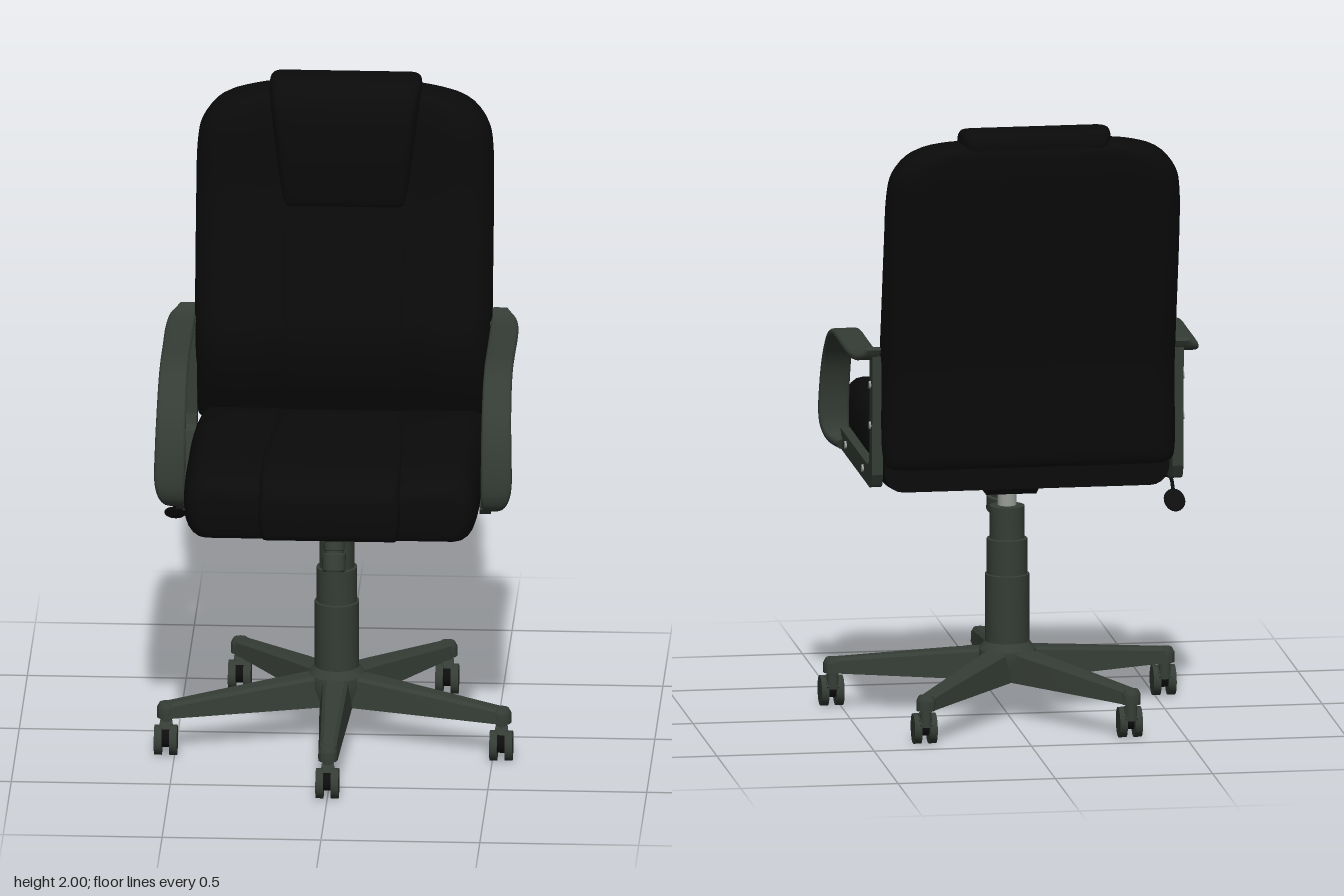
import * as THREE from 'three';
import { toCreasedNormals } from 'three/addons/utils/BufferGeometryUtils.js';

const material = (name, color) => Object.assign(new THREE.MeshStandardMaterial({ color }), { name });

// Rounded rectangle outline as [a, b] pairs, long sides subdivided so they can be dished
function roundLoop(a0, a1, b0, b1, ra, rb, n = 5, sub = 18) {
  const pts = [];
  const corners = [[a1 - ra, b1 - rb], [a0 + ra, b1 - rb], [a0 + ra, b0 + rb], [a1 - ra, b0 + rb]];
  corners.forEach(([ca, cb], q) => {
    for (let i = 0; i <= n; i++) {
      const t = (q + i / n) * Math.PI / 2;
      pts.push([ca + ra * Math.cos(t), cb + rb * Math.sin(t)]);
    }
    if (q % 2 === 0) {
      const [na] = corners[q + 1], b = q === 0 ? b1 : b0;
      for (let i = 1; i < sub; i++) pts.push([ca + (na - ca) * i / sub, b]);
    }
  });
  return pts;
}

// Skin over closed rings of points, turned outward by the sign of its volume
function loft(rings, crease = 0.7, caps = true) {
  const n = rings[0].length, pos = rings.flat(), faces = [];
  for (let r = 0; r < rings.length - 1; r++) for (let i = 0; i < n; i++) {
    const a = r * n + i, b = r * n + (i + 1) % n;
    faces.push([a, b, a + n], [b, b + n, a + n]);
  }
  if (caps) [0, rings.length - 1].forEach((r, end) => {
    const c = [0, 1, 2].map(k => rings[r].reduce((s, p) => s + p[k], 0) / n);
    const id = pos.push(c) - 1;
    for (let i = 0; i < n; i++) {
      const a = r * n + i, b = r * n + (i + 1) % n;
      faces.push(end ? [a, b, id] : [b, a, id]);
    }
  });
  const v = i => new THREE.Vector3(...pos[i]);
  const volume = faces.reduce((s, f) => s + v(f[0]).dot(v(f[1]).cross(v(f[2]))), 0);
  if (volume < 0) faces.forEach(f => f.reverse());
  const g = new THREE.BufferGeometry();
  g.setAttribute('position', new THREE.Float32BufferAttribute(pos.flat(), 3));
  g.setIndex(faces.flat());
  return toCreasedNormals(g, crease);
}

// Smoothly resample rows of numbers
function smooth(rows, per = 4) {
  const k = rows[0].length;
  const curve = new THREE.CubicInterpolant(rows.map((_, i) => i), rows.flat(), k, new Float32Array(k));
  const count = (rows.length - 1) * per;
  return Array.from({ length: count + 1 }, (_, i) => Array.from(curve.evaluate(i / per)));
}

// Cushion from rows of [level, half width, face, rear]; the face is dished in the middle
function cushion(rows, upright, rx, dish = 0) {
  return loft(smooth(rows).map(([level, w, face, rear]) =>
    roundLoop(-w, w, rear, face, rx, 0.44 * (face - rear)).map(([x, b]) => {
      const f = (b - rear) / (face - rear);
      const d = b - dish * f * (1 - THREE.MathUtils.smoothstep(Math.abs(x), 0.17, 0.33));
      return upright ? [x, level, d] : [x, d, level];
    })));
}

// Side profile of [z, y] points extruded across x
function sideExtrude(points, x0, x1) {
  const shape = new THREE.Shape(points.map(p => new THREE.Vector2(...p)));
  return new THREE.ExtrudeGeometry(shape, { depth: x1 - x0, bevelEnabled: false })
    .rotateY(-Math.PI / 2).translate(x1, 0, 0);
}

const lathe = points =>
  toCreasedNormals(new THREE.LatheGeometry(points.map(p => new THREE.Vector2(...p)), 32), 0.5);

export function createModel() {
  const leather = material('black leather', 0x0a0a0a);
  const plastic = material('dark grey plastic', 0x353c35);
  const steel = material('black steel', 0x0d0d0d);
  const metal = material('bolt metal', 0x9a9e9a);
  const model = new THREE.Group();
  model.name = 'officeChair';
  const add = (name, geometry, mat, parent = model) => {
    const mesh = new THREE.Mesh(geometry, mat);
    mesh.name = name;
    parent.add(mesh);
    return mesh;
  };

  // Backrest with side bolsters, lumbar panel and head pillow
  add('backrest', cushion([
    [0.89, 0.43, -0.415, -0.47], [0.905, 0.455, -0.4, -0.49], [0.95, 0.464, -0.375, -0.5],
    [1.06, 0.467, -0.325, -0.505], [1.2, 0.468, -0.3, -0.51], [1.36, 0.468, -0.34, -0.54],
    [1.63, 0.468, -0.415, -0.59], [1.78, 0.465, -0.435, -0.62], [1.86, 0.448, -0.445, -0.635],
    [1.925, 0.39, -0.465, -0.64], [1.955, 0.29, -0.49, -0.63], [1.968, 0.2, -0.53, -0.605]
  ], true, 0.1, 0.04), leather);
  add('lumbarPanel', cushion([
    [0.95, 0.2, -0.405, -0.48], [1.06, 0.2, -0.357, -0.48], [1.2, 0.2, -0.335, -0.48],
    [1.36, 0.2, -0.37, -0.5], [1.5, 0.2, -0.41, -0.53], [1.6, 0.2, -0.442, -0.55]
  ], true, 0.02), leather);
  add('headPillow', cushion([
    [1.6, 0.19, -0.455, -0.5], [1.62, 0.2, -0.435, -0.55], [1.79, 0.222, -0.43, -0.6],
    [1.9, 0.235, -0.44, -0.63], [1.96, 0.24, -0.467, -0.636], [1.99, 0.236, -0.505, -0.622],
    [2, 0.22, -0.54, -0.595]
  ], true, 0.03), leather);

  // Seat with a raised middle panel
  add('seat', cushion([
    [0.487, 0.4, 0.94, 0.85], [0.478, 0.432, 0.975, 0.82], [0.44, 0.455, 1.0, 0.805],
    [0.38, 0.462, 1.015, 0.8], [0.28, 0.465, 1.02, 0.8], [0.1, 0.465, 1.005, 0.8],
    [-0.1, 0.465, 0.988, 0.8], [-0.3, 0.46, 0.962, 0.8], [-0.41, 0.452, 0.945, 0.808]
  ], false, 0.06, 0.01), leather);
  add('seatPanel', cushion([
    [0.516, 0.19, 0.93, 0.87], [0.511, 0.215, 0.96, 0.83], [0.47, 0.226, 1.003, 0.81],
    [0.4, 0.23, 1.018, 0.81], [0.28, 0.23, 1.021, 0.81], [0.1, 0.225, 1.005, 0.81],
    [-0.1, 0.217, 0.986, 0.81], [-0.35, 0.21, 0.953, 0.81]
  ], false, 0.02), leather);

  // Armrests: a curved wide band on an L-shaped bracket; rows are [z, y, outer x, thickness]
  const band = smooth([
    [-0.43, 1.277, 0.515, 0.014], [-0.4, 1.248, 0.545, 0.024], [-0.3, 1.24, 0.555, 0.024],
    [-0.12, 1.24, 0.555, 0.024], [0.02, 1.238, 0.555, 0.024], [0.12, 1.207, 0.556, 0.024],
    [0.2, 1.13, 0.558, 0.024], [0.243, 1.03, 0.561, 0.026], [0.256, 0.92, 0.562, 0.028],
    [0.24, 0.86, 0.545, 0.032], [0.2, 0.84, 0.51, 0.036]
  ]);
  const bracket = [
    [0.24, 0.84], [0.22, 0.82], [-0.37, 0.82], [-0.405, 0.832], [-0.425, 0.87], [-0.43, 1.25],
    [-0.37, 1.25], [-0.365, 0.93], [-0.355, 0.9], [-0.33, 0.885], [0.24, 0.885]
  ];
  for (const [s, side] of [[1, 'left'], [-1, 'right']]) {
    const arm = new THREE.Group();
    arm.name = side + 'Armrest';
    model.add(arm);
    const rings = band.map(([z, y, xo, th], i) => {
      const p = band[Math.max(i - 1, 0)], q = band[Math.min(i + 1, band.length - 1)];
      const dz = q[0] - p[0], dy = q[1] - p[1], len = Math.hypot(dz, dy);
      return roundLoop(0.465, xo, -th / 2, th / 2, 0.014, th * 0.42, 4, 3)
        .map(([x, n]) => [s * x, y + n * dz / len, z - n * dy / len]);
    });
    add('armBand', loft(rings), plastic, arm);
    add('armBracket', sideExtrude(bracket, s > 0 ? 0.46 : -0.495, s > 0 ? 0.495 : -0.46), plastic, arm);
    for (const [z, y] of [[-0.395, 1.155], [-0.395, 1.025], [0.115, 0.855], [-0.24, 0.855]]) {
      add('armBolt', new THREE.CylinderGeometry(0.012, 0.012, 0.008, 16)
        .rotateZ(Math.PI / 2).translate(s * 0.497, y, z), metal, arm);
    }
  }

  // Tilt mechanism below the seat
  add('mountPlate', new THREE.BoxGeometry(0.38, 0.02, 0.36).translate(0, 0.79, -0.02), steel);
  add('tiltHousing', sideExtrude([[0.2, 0.8], [0.19, 0.775], [0.11, 0.735], [0.05, 0.72],
    [-0.08, 0.722], [-0.13, 0.75], [-0.24, 0.785], [-0.24, 0.8]], -0.08, 0.08), steel);
  for (const x of [-0.15, 0.15]) for (const z of [-0.16, 0.12]) {
    add('plateBolt', new THREE.CylinderGeometry(0.012, 0.012, 0.008, 16).translate(x, 0.777, z), metal);
  }

  // Ribbed tension knob
  const knob = new THREE.Group();
  knob.name = 'tensionKnob';
  knob.position.set(0, 0.612, 0.203);
  knob.rotation.x = -0.3;
  model.add(knob);
  add('knobNeck', new THREE.CylinderGeometry(0.024, 0.024, 0.15, 20).translate(0, 0.075, 0), plastic, knob);
  add('knobGrip', lathe([[0, 0], [0.033, 0], [0.037, 0.006], [0.037, 0.055], [0.03, 0.06], [0.03, 0.068],
    [0.033, 0.07], [0.033, 0.11], [0.02, 0.115]]), plastic, knob);

  // Height lever
  const leverPath = new THREE.CatmullRomCurve3([[-0.05, 0.765, -0.03], [-0.3, 0.765, -0.045],
    [-0.48, 0.765, -0.055], [-0.508, 0.758, -0.06], [-0.515, 0.72, -0.075]]
    .map(p => new THREE.Vector3(...p)));
  add('heightLever', new THREE.TubeGeometry(leverPath, 40, 0.006, 8), steel);
  const paddle = add('leverPaddle', new THREE.SphereGeometry(1, 20, 14).scale(0.034, 0.045, 0.01), steel);
  paddle.position.set(-0.515, 0.692, -0.105);
  paddle.rotation.x = 0.87;

  // Stepped gas column
  const base = new THREE.Group();
  base.name = 'base';
  base.position.z = 0.01;
  model.add(base);
  add('gasRod', new THREE.CylinderGeometry(0.03, 0.03, 0.08, 24).translate(0, 0.7, 0), metal, base);
  add('column', lathe([[0.07, 0.2], [0.07, 0.45], [0.064, 0.452], [0.064, 0.563], [0.055, 0.565],
    [0.055, 0.668], [0.03, 0.67]]), plastic, base);
  add('hub', lathe([[0, 0.115], [0.08, 0.115], [0.095, 0.18], [0.09, 0.21], [0.07, 0.235]]), plastic, base);

  // Five hollow legs with twin-wheel casters, all rolling forward
  const legRings = [[0.05, 0.052, 0.215], [0.2, 0.046, 0.2], [0.4, 0.037, 0.178], [0.56, 0.031, 0.16]]
    .map(([z, w, top]) => {
      const t = w * 0.72, b = 0.115;
      return [[-w, b], [-t - 0.003, top - 0.01], [-t + 0.008, top], [t - 0.008, top], [t + 0.003, top - 0.01],
        [w, b], [w - 0.012, b], [t - 0.01, top - 0.02], [0.01 - t, top - 0.02], [0.012 - w, b]]
        .map(([x, y]) => [x, y, z]);
    });
  const legGeometry = loft(legRings, 0.6, false);
  const socketGeometry = lathe([[0, 0.113], [0.03, 0.113], [0.03, 0.145], [0.022, 0.16], [0, 0.162]]);
  for (let i = 0; i < 5; i++) {
    const a = i * Math.PI * 2 / 5, x = Math.sin(a) * 0.555, z = Math.cos(a) * 0.555;
    add('leg', legGeometry, plastic, base).rotation.y = a;
    add('legSocket', socketGeometry, plastic, base).position.set(x, 0, z);
    const caster = new THREE.Group();
    caster.name = 'caster';
    caster.position.set(x, 0, z);
    base.add(caster);
    add('casterStem', new THREE.CylinderGeometry(0.017, 0.02, 0.06, 16).translate(0, 0.09, 0), plastic, caster);
    add('casterHood', new THREE.BoxGeometry(0.04, 0.045, 0.04).rotateX(0.6).translate(0, 0.075, 0.015), plastic, caster);
    add('casterAxle', new THREE.CylinderGeometry(0.03, 0.03, 0.03, 20)
      .rotateZ(Math.PI / 2).translate(0, 0.055, 0.035), steel, caster);
    for (const s of [-1, 1]) {
      add('casterWheel', toCreasedNormals(new THREE.CylinderGeometry(0.048, 0.048, 0.024, 28), 0.5)
        .rotateZ(Math.PI / 2).translate(s * 0.024, 0.048, 0.035), plastic, caster);
    }
  }
  return model;
}
